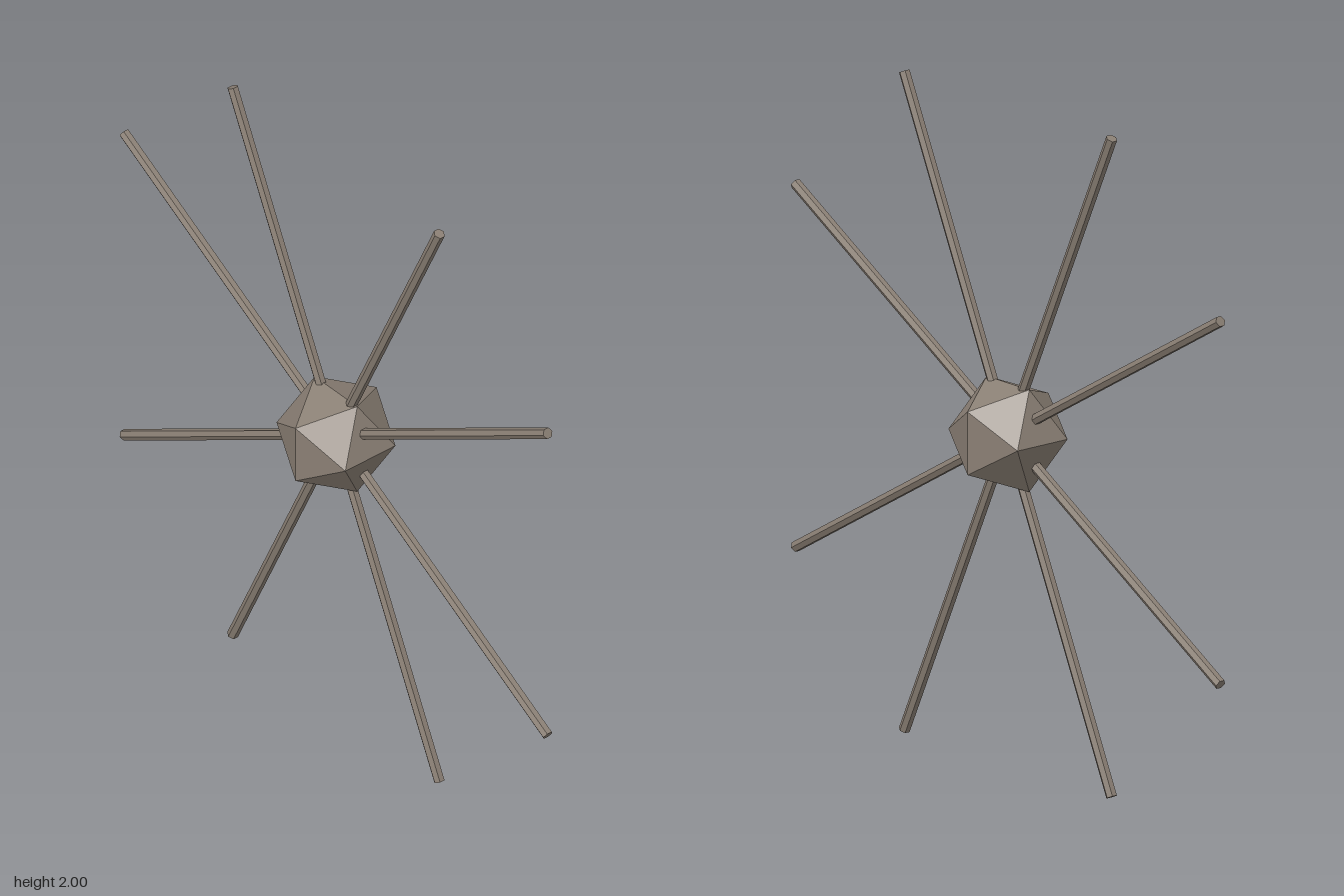
import * as THREE from 'three';

export function createModel() {
  const model = new THREE.Group();
  const stone = new THREE.MeshStandardMaterial({ color: 0x8a7f74, flatShading: true });
  stone.name = 'warm grey';

  // Faceted core
  const core = new THREE.Mesh(new THREE.IcosahedronGeometry(0.181, 0), stone);
  core.name = 'core';
  core.position.y = 1;
  model.add(core);

  // Thin hexagonal spokes fanned out in the front plane, four mirrored to each side
  const radius = 0.017, inner = 0.09, outer = 1.095;
  const rod = new THREE.CylinderGeometry(radius, radius, outer - inner, 6);
  rod.translate(0, (inner + outer) / 2, 0);
  for (const side of [1, -1]) {
    for (const degrees of [65, 30, -30, -65]) {
      const spoke = new THREE.Mesh(rod, stone);
      spoke.name = side > 0 ? 'leftSpoke' : 'rightSpoke';
      spoke.position.y = 1;
      spoke.rotation.z = side * THREE.MathUtils.degToRad(degrees - 90);
      model.add(spoke);
    }
  }
  return model;
}
